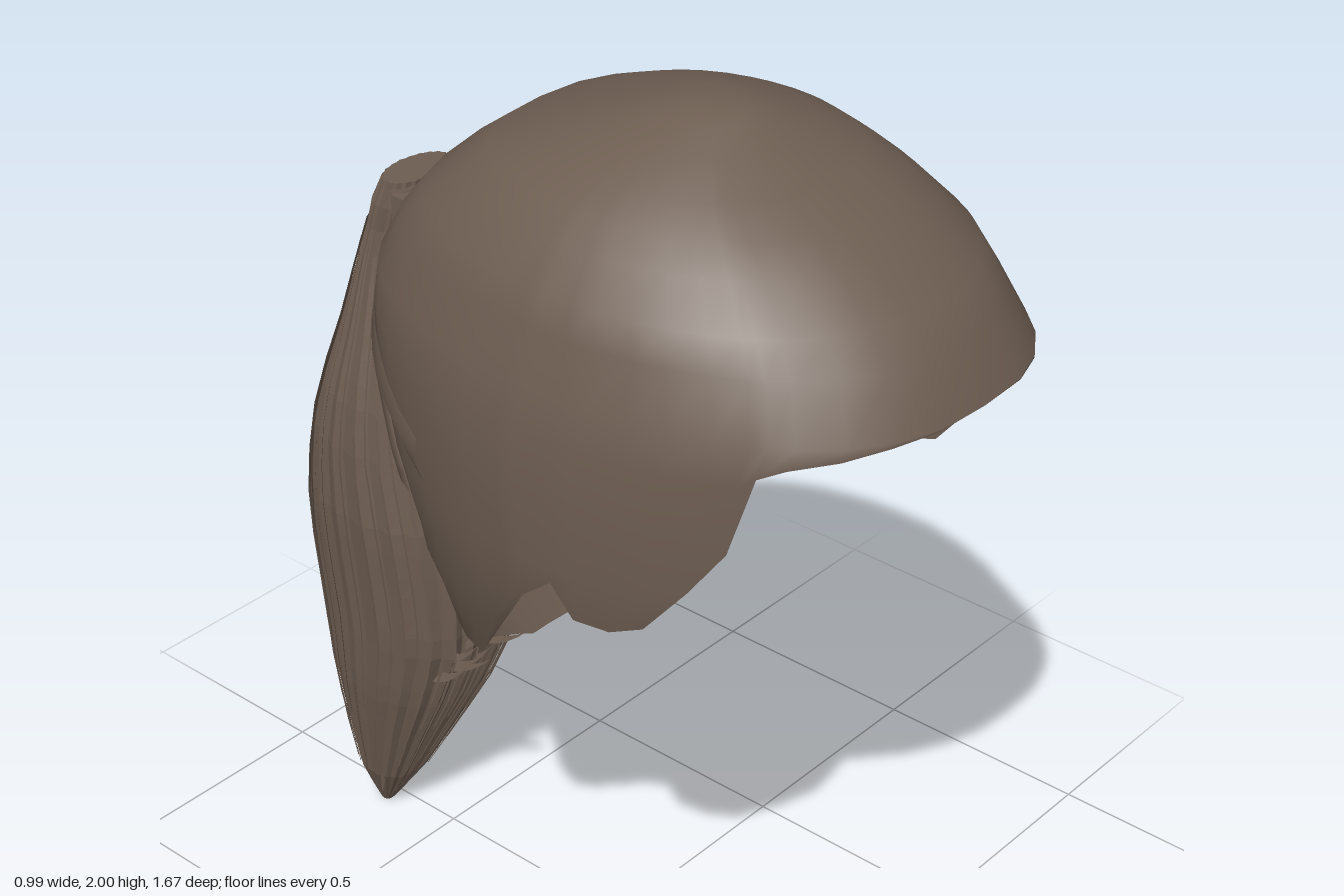
import * as THREE from 'three';
import { mergeVertices, mergeGeometries } from 'three/addons/utils/BufferGeometryUtils.js';

// Piecewise-linear lookup: rows are [key, a, b, ...] with rising keys
function lookup(rows, k) {
  let i = 0;
  while (i < rows.length - 2 && k > rows[i + 1][0]) i++;
  const f = THREE.MathUtils.clamp((k - rows[i][0]) / (rows[i + 1][0] - rows[i][0]), 0, 1);
  return rows[i].slice(1).map((v, j) => v + (rows[i + 1][j + 1] - v) * f);
}

// Surface through a grid of points, point(i, j) -> [x, y, z]; empty triangles are dropped
function grid(nu, nv, point) {
  const pos = [], index = [], p = [];
  for (let j = 0; j < nv; j++) for (let i = 0; i < nu; i++) {
    const v = new THREE.Vector3(...point(i, j));
    p.push(v);
    pos.push(v.x, v.y, v.z);
  }
  const tri = (a, b, c) => {
    if (new THREE.Triangle(p[a], p[b], p[c]).getArea() > 1e-7) index.push(a, b, c);
  };
  for (let j = 0; j < nv - 1; j++) for (let i = 0; i < nu - 1; i++) {
    const a = j * nu + i, b = a + 1, c = a + nu, d = c + 1;
    tri(a, c, b);
    tri(b, c, d);
  }
  const g = new THREE.BufferGeometry();
  g.setAttribute('position', new THREE.Float32BufferAttribute(pos, 3));
  g.setIndex(index);
  return g;
}

// Cap levels: y, front z, back z, half width
const CAP = [
  [0.73, 0.0, -0.14, 0.2], [0.8, 0.1, -0.185, 0.3], [0.88, 0.22, -0.235, 0.37],
  [0.96, 0.39, -0.285, 0.405], [1.05, 0.56, -0.33, 0.445], [1.15, 0.74, -0.365, 0.475],
  [1.25, 0.78, -0.395, 0.49], [1.4, 0.8, -0.43, 0.495], [1.52, 0.82, -0.445, 0.49],
  [1.6, 0.84, -0.44, 0.475], [1.7, 0.785, -0.385, 0.445], [1.76, 0.735, -0.33, 0.425],
  [1.83, 0.64, -0.25, 0.365], [1.87, 0.575, -0.195, 0.322], [1.91, 0.49, -0.09, 0.27],
  [1.95, 0.4, 0.02, 0.19], [1.982, 0.335, 0.12, 0.105], [1.994, 0.31, 0.17, 0.06], [2.0, 0.25, 0.25, 0],
];
// Hairline: angle from the front in degrees, lower edge y
const HAIRLINE = [
  [0, 1.6], [20, 1.59], [40, 1.56], [45, 1.54], [48, 1.38], [63, 1.18], [70, 1.15], [78, 1.15],
  [83, 1.22], [90, 1.16], [92, 0.98], [94, 0.88], [102, 0.87], [120, 0.82], [139, 0.77], [155, 0.735], [180, 0.73],
];

// Boxy cross-sections, growing rounder at the front above the brow
function capPoint(deg, y, out = 0) {
  const [zf, zb, w] = lookup(CAP, y);
  const t = THREE.MathUtils.degToRad(deg), s = Math.sin(t);
  const power = 0.75 + (Math.cos(t) > 0 ? 0.17 * THREE.MathUtils.smoothstep(y, 1.54, 1.75) : 0);
  const x = Math.sign(s) * Math.pow(Math.abs(s), power) * (w + out);
  return [x, y, (zf + zb) / 2 + Math.cos(t) * ((zf - zb) / 2 + out)];
}

// Ponytail levels: y, inner z, outer z, half width, x shift
const TAIL = [
  [0.0, -0.66, -0.69, 0.015, -0.035], [0.1, -0.585, -0.74, 0.07, -0.025], [0.25, -0.5, -0.775, 0.115, -0.012],
  [0.4, -0.415, -0.8, 0.15, -0.005], [0.56, -0.345, -0.82, 0.17, 0], [0.72, -0.34, -0.828, 0.18, -0.005],
  [0.85, -0.35, -0.822, 0.19, -0.008], [1.02, -0.395, -0.79, 0.19, -0.008], [1.15, -0.425, -0.745, 0.18, -0.005],
  [1.31, -0.46, -0.685, 0.15, 0], [1.44, -0.49, -0.645, 0.12, 0], [1.52, -0.49, -0.618, 0.105, 0],
  [1.6, -0.47, -0.6, 0.1, 0], [1.62, -0.48, -0.58, 0.09, 0],
];

// The side facing the head is blunt, with a slight hollow down its middle
function tailPoint(t, y, scale = 1) {
  const [zi, zo, w, x] = lookup(TAIL, y);
  const c = Math.cos(t), depth = (zi - zo) / 2;
  const reach = c > 0 ? Math.pow(c, 0.8) - 0.1 * Math.pow(c, 14) : c;
  return [x + Math.sin(t) * w * scale, y, (zi + zo) / 2 + reach * depth * scale];
}

export function createModel() {
  const model = new THREE.Group();
  const brown = new THREE.MeshStandardMaterial({ color: 0x6e5e52, side: THREE.DoubleSide });
  brown.name = 'brown hair';
  const brownFlat = brown.clone();
  brownFlat.flatShading = true;
  brownFlat.name = 'brown hair strands';
  const add = (name, geometry, material = brown) => {
    geometry.computeVertexNormals();
    const mesh = new THREE.Mesh(geometry, material);
    mesh.name = name;
    model.add(mesh);
  };

  let seed = 7;
  const rnd = () => (seed = (seed * 16807) % 2147483647) / 2147483647;

  // Open cap of hair, cut off along the hairline
  const half = [...HAIRLINE.map(r => r[0]), 10, 30, 55, 110, 130, 147, 168].sort((a, b) => a - b);
  const angles = [...half.slice(1).reverse().map(a => -a), ...half];
  const levels = CAP.map(r => r[0]).reverse();
  const cap = grid(angles.length, levels.length, (i, j) =>
    capPoint(angles[i], Math.max(levels[j], lookup(HAIRLINE, Math.abs(angles[i]))[0])));
  add('hairCap', mergeVertices(cap, 1e-4));

  // Swept-back bands lying on the cap: start angle and y, end angle and y, width
  for (const side of [-1, 1]) {
    for (const [a0, y0, a1, y1, wide] of [[118, 1.32, 168, 1.54, 0.09], [134, 1.2, 146, 1.4, 0.06]]) {
      add('sweptBand', grid(9, 3, (i, j) => {
        const f = i / 8;
        return capPoint(side * (a0 + (a1 - a0) * f), y0 + (y1 - y0) * f + (j - 1) * wide / 2, j === 1 ? 0.012 : 0.002);
      }));
    }
  }

  // Square sleeve joining the cap to the ponytail, with a strap easing onto the crown
  const sleeve = [[-1, 1.46], [1, 1.46], [1, 1.6], [-1, 1.6], [-1, 1.46]];
  add('tieSleeve', grid(5, 2, (i, j) => [sleeve[i][0] * 0.095, sleeve[i][1], j ? -0.51 : -0.4]), brownFlat);
  const strap = [[1.72, -0.36], [1.67, -0.41], [1.63, -0.445], [1.612, -0.48], [1.605, -0.52]];
  add('tieStrap', grid(2, 5, (i, j) => [(i - 0.5) * 0.19, ...strap[j]]));

  // Ponytail with ridged locks
  const sides = 44, rows = 30;
  const ridge = Array.from({ length: sides }, (_, i) => (i % 2 ? 0.95 : 1) - rnd() * 0.025);
  add('ponytail', grid(sides + 1, rows + 1, (i, j) => {
    const k = i % sides;
    return tailPoint(k / sides * Math.PI * 2, 1.62 * (1 - j / rows), ridge[k]);
  }), brownFlat);
  add('ponytailTop', grid(sides + 1, 2, (i, j) =>
    tailPoint((i % sides) / sides * Math.PI * 2, 1.62, j ? ridge[i % sides] : 0)), brownFlat);

  // Thin loose strands over the ponytail
  const strands = [];
  for (let s = 0; s < 44; s++) {
    const t = s / 44 * Math.PI * 2, top = 1.3 + rnd() * 0.25, end = 0.03 + rnd() * 0.3;
    const lift = 0.99 + rnd() * 0.03, width = 0.03 + rnd() * 0.03;
    strands.push(grid(2, 13, (i, j) => {
      const f = j / 12;
      return tailPoint(t + (i - 0.5) * width * (1 - f * 0.7), top + (end - top) * f, lift + (i ? 0.02 : 0));
    }));
  }
  // Wisps curling forward and up from the inner side
  for (let s = 0; s < 12; s++) {
    const x = (rnd() - 0.5) * 0.2, y = 0.48 + rnd() * 0.13, reach = 0.09 + rnd() * 0.07;
    const zi = lookup(TAIL, y)[0];
    strands.push(grid(2, 6, (i, j) => {
      const f = j / 5, w = (i - 0.5) * (1 - f);
      return [x + w * 0.012, y + 0.08 * f * f + w * 0.03, zi - 0.07 + reach * f];
    }));
  }
  // Forked ends at the bottom
  for (const [x, z, y] of [[0.075, -0.62, 0.1], [0.11, -0.67, 0.13], [-0.085, -0.64, 0.06], [0.05, -0.71, 0.09]]) {
    strands.push(grid(5, 4, (i, j) => {
      const a = i / 4 * Math.PI * 2, r = 0.032 * (1 - j / 3.2);
      return [x + Math.cos(a) * r, y + 0.25 * (1 - j / 3), z + Math.sin(a) * r + 0.03 * (1 - j / 3)];
    }));
  }
  add('looseStrands', mergeGeometries(strands), brownFlat);

  return model;
}
